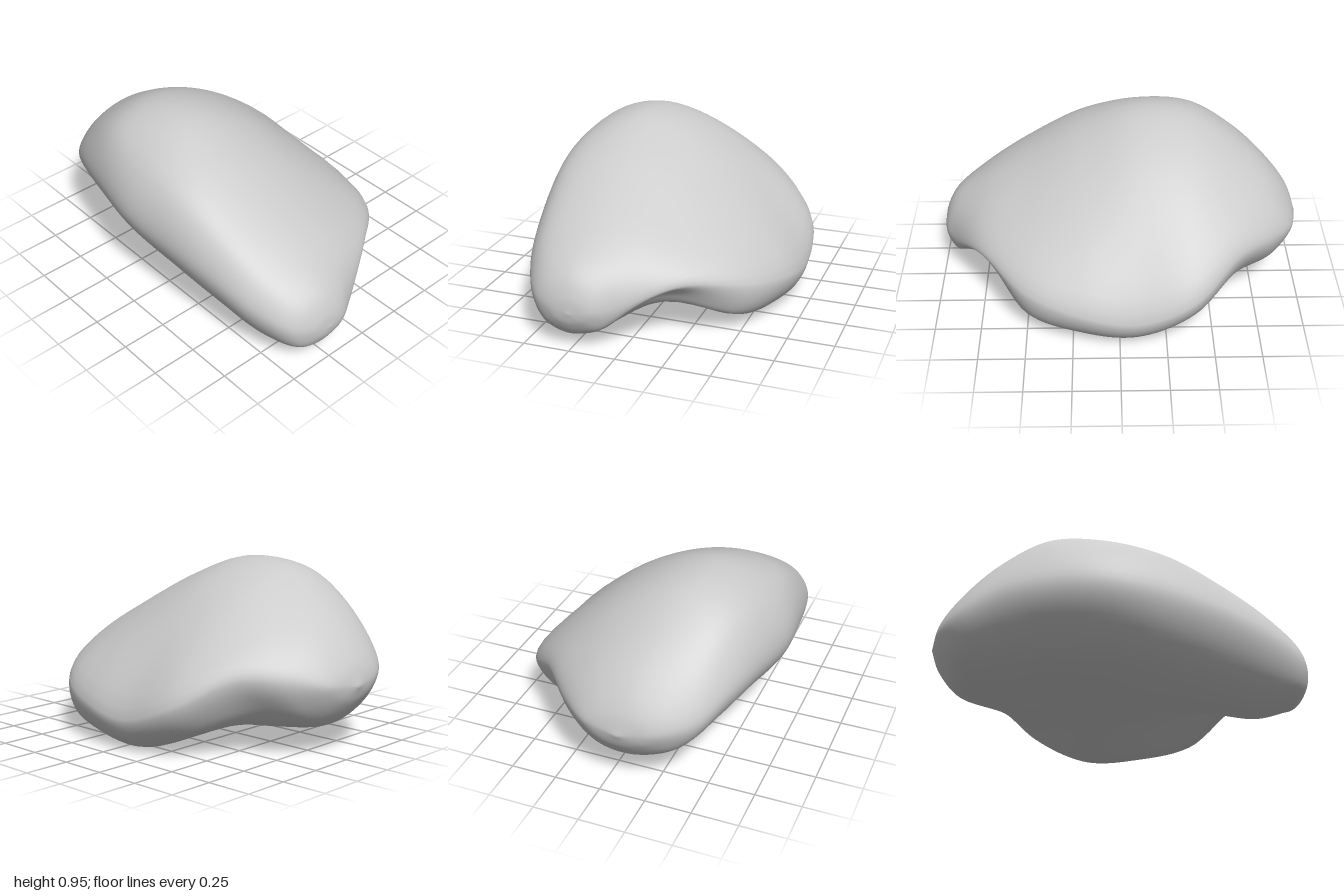
import * as THREE from 'three';
import { mergeVertices } from 'three/addons/utils/BufferGeometryUtils.js';

// Cross-sections from front to back. Each runs x, y around the outline:
// left edge, upper left, ridge, right slope, right edge, right foot, hollow, left foot.
const SECTIONS = [
  [0.93, [-.465, .25, -.40, .345, -.25, .39, -.10, .33, -.04, .22, -.09, .12, -.20, .07, -.31, .065]],
  [0.75, [-.57, .32, -.49, .465, -.25, .53, .05, .46, .25, .32, .12, .25, -.03, .12, -.23, .008]],
  [0.50, [-.635, .41, -.545, .61, -.28, .68, .10, .585, .545, .27, .48, .09, .16, .22, -.20, .035]],
  [0.20, [-.68, .47, -.585, .745, -.29, .84, .15, .70, .675, .21, .57, .03, .20, .14, -.14, .07]],
  [-0.10, [-.703, .51, -.59, .80, -.27, .94, .20, .755, .70, .175, .58, .008, .22, .06, -.06, .10]],
  [-0.40, [-.65, .52, -.535, .82, -.24, .92, .20, .75, .655, .28, .53, .115, .25, .12, .01, .12]],
  [-0.65, [-.575, .50, -.46, .71, -.20, .785, .15, .675, .435, .43, .35, .27, .18, .15, -.05, .115]],
  [-0.85, [-.465, .42, -.37, .55, -.15, .62, .11, .55, .25, .41, .19, .27, .06, .17, -.13, .15]],
];
const FRONT_TIP = new THREE.Vector3(-.25, .2, 1);
const BACK_TIP = new THREE.Vector3(-.1, .36, -1);
const AROUND = 72, ALONG = 96;

// Smooth closed outline of one section
function ring([z, xy]) {
  const corners = [];
  for (let i = 0; i < xy.length; i += 2) corners.push(new THREE.Vector3(xy[i], xy[i + 1], z));
  // Rounded lower left flank, between the left foot and the left edge
  const edge = corners[0], foot = corners[corners.length - 1];
  corners.push(new THREE.Vector3(
    THREE.MathUtils.lerp(foot.x, edge.x, 0.7), THREE.MathUtils.lerp(foot.y, edge.y, 0.34 - 0.04 * z), z));
  const curve = new THREE.CatmullRomCurve3(corners, true);
  return Array.from({ length: AROUND }, (_, j) => curve.getPoint(j / AROUND));
}

// Shrunken copy of an end ring, rounding the body off towards its tip
function capRing(source, tip, width, height, z) {
  return source.map(p => new THREE.Vector3(
    tip.x + (p.x - tip.x) * width, tip.y + (p.y - tip.y) * height, z));
}

function bodyGeometry() {
  const rings = SECTIONS.map(ring);
  rings.unshift(capRing(rings[0], FRONT_TIP, 0.52, 0.46, 0.985));
  rings.push(capRing(rings[rings.length - 1], BACK_TIP, 0.56, 0.44, -0.96));

  // Lengthwise curves from tip to tip
  const positions = [], index = [];
  for (let j = 0; j < AROUND; j++) {
    const rib = new THREE.CatmullRomCurve3([FRONT_TIP, ...rings.map(r => r[j]), BACK_TIP]);
    for (let i = 0; i <= ALONG; i++) positions.push(...rib.getPoint(i / ALONG).toArray());
  }

  // Skin between neighbouring curves, with single triangles at the tips
  const row = ALONG + 1;
  for (let j = 0; j < AROUND; j++) {
    const next = (j + 1) % AROUND;
    for (let i = 0; i < ALONG; i++) {
      const a = j * row + i, b = next * row + i;
      if (i > 0) index.push(a, b, a + 1);
      if (i < ALONG - 1) index.push(b, b + 1, a + 1);
    }
  }
  const skin = new THREE.BufferGeometry();
  skin.setAttribute('position', new THREE.Float32BufferAttribute(positions, 3));
  skin.setIndex(index);
  const geometry = mergeVertices(skin);
  geometry.computeVertexNormals();
  return geometry;
}

export function createModel() {
  const group = new THREE.Group();
  group.name = 'roundedLobedForm';
  const body = new THREE.Mesh(bodyGeometry(), new THREE.MeshStandardMaterial({ color: 0xcccccc }));
  body.name = 'body';
  group.add(body);
  return group;
}
